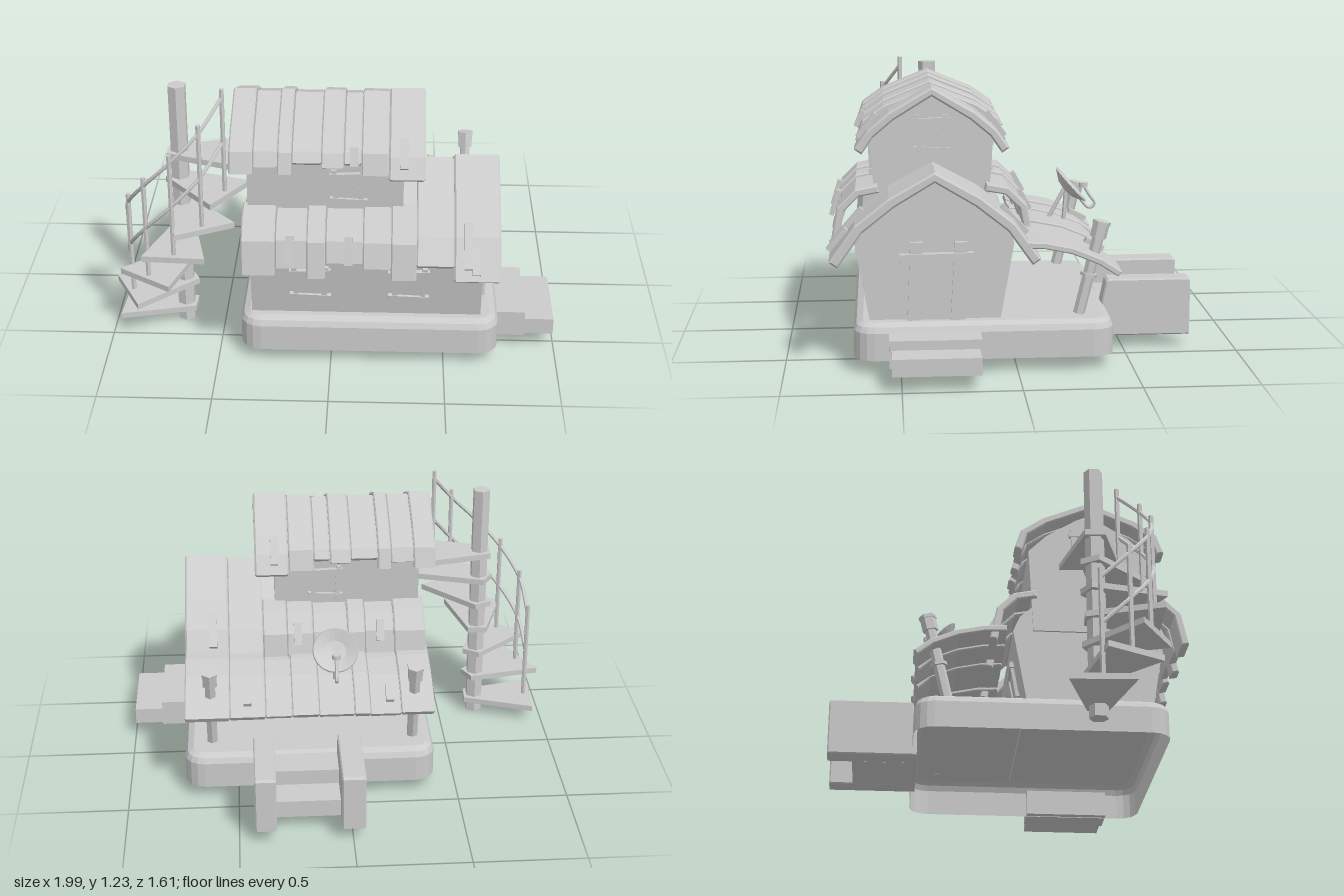
import * as THREE from 'three';

const mat = new THREE.MeshStandardMaterial({ color: 0xcccccc, flatShading: true, side: THREE.DoubleSide });
const CZ = 0.35; // ridge line of both roofs
const V = (x, y, z) => new THREE.Vector3(x, y, z);

export function createModel() {
  const root = new THREE.Group();
  const add = (name, geo, parent = root) => {
    const m = new THREE.Mesh(geo, mat);
    m.name = name;
    parent.add(m);
    return m;
  };
  const box = (name, w, h, d, x, y, z, parent = root) => {
    const m = add(name, new THREE.BoxGeometry(w, h, d), parent);
    m.position.set(x, y, z);
    return m;
  };
  // cylinder between two points
  const rod = (name, a, b, r, sides = 6, r2 = r) => {
    const m = add(name, new THREE.CylinderGeometry(r2, r, a.distanceTo(b), sides));
    m.position.copy(a).add(b).multiplyScalar(0.5);
    m.quaternion.setFromUnitVectors(V(0, 1, 0), b.clone().sub(a).normalize());
    return m;
  };
  // outline of [z, y] points extruded along x
  const slab = (name, pts, x0, x1, bevel = 0) => {
    const shape = new THREE.Shape(pts.map(([z, y]) => new THREE.Vector2(-z, y)));
    const geo = new THREE.ExtrudeGeometry(shape, {
      depth: x1 - x0 - 2 * bevel, bevelEnabled: bevel > 0, bevelSize: bevel,
      bevelOffset: -bevel, bevelThickness: bevel, bevelSegments: 1,
    });
    geo.rotateY(Math.PI / 2).translate(x0 + bevel, 0, 0);
    return add(name, geo);
  };
  // polyline running front to back, thickened towards the inside
  const thicken = (pts, t) => {
    const inner = pts.map(([z, y], i) => {
      const a = pts[Math.max(i - 1, 0)], b = pts[Math.min(i + 1, pts.length - 1)];
      const dz = b[0] - a[0], dy = b[1] - a[1], l = Math.hypot(dz, dy);
      return [z - (dy / l) * t, y + (dz / l) * t];
    });
    return [...pts, ...inner.reverse()];
  };
  const flip = (pts) => pts.map(([z, y]) => [2 * CZ - z, y]).reverse();
  const mirrored = (half) => [...half, ...flip(half.slice(0, -1))];

  // hollow base with rounded corners and softened top edge
  const ring = (y, inset) => {
    const out = [], r = 0.09 - inset;
    [[1, 1], [-1, 1], [-1, -1], [1, -1]].forEach(([sx, sz], q) => {
      for (let i = 0; i <= 4; i++) {
        const a = (q + i / 4) * Math.PI / 2;
        out.push([0.17 + sx * 0.48 + r * Math.cos(a), y, 0.14 + sz * 0.47 + r * Math.sin(a)]);
      }
    });
    return out;
  };
  const levels = [ring(0.06, 0), ring(0.18, 0), ring(0.205, 0.012), ring(0.22, 0.04)];
  const n = levels[0].length, index = [];
  for (let l = 0; l < 3; l++) {
    for (let i = 0; i < n; i++) {
      const a = l * n + i, b = l * n + (i + 1) % n;
      index.push(a, a + n, b, b, a + n, b + n);
    }
  }
  for (let i = 0; i < n; i++) index.push(3 * n + i, 4 * n, 3 * n + (i + 1) % n);
  const base = new THREE.BufferGeometry();
  base.setAttribute('position', new THREE.Float32BufferAttribute([...levels.flat(2), 0.17, 0.22, 0.14], 3));
  base.setIndex(index);
  base.computeVertexNormals();
  add('base', base);

  // side entrance steps
  box('entryStepUpper', 0.16, 0.12, 0.39, 0.785, 0.123, 0.355);
  box('entryStepLower', 0.14, 0.075, 0.37, 0.925, 0.105, 0.355);

  // rear stairs between two cheek walls
  const cheek = [[-0.4, 0.06], [-0.8, 0.06], [-0.8, 0.31], [-0.79, 0.32], [-0.43, 0.32], [-0.42, 0.31], [-0.4, 0.21]];
  slab('rearStairWall', cheek, -0.055, 0.05, 0.006);
  slab('rearStairWall', cheek, 0.335, 0.43, 0.006);
  box('rearStairUpper', 0.29, 0.15, 0.15, 0.19, 0.135, -0.475);
  box('rearStairLower', 0.29, 0.08, 0.15, 0.19, 0.1, -0.615);

  // house bodies
  slab('lowerHouse', mirrored([[0.63, 0.21], [0.69, 0.55], [0.66, 0.62], [0.545, 0.72], [0.35, 0.84]]), -0.35, 0.66);
  slab('upperHouse', mirrored([[0.6, 0.55], [0.62, 0.95], [0.54, 1.03], [0.35, 1.15]]), -0.36, 0.31);

  // main lower roof over the exposed end
  const mainHalf = [[0.79, 0.525], [0.69, 0.645], [0.545, 0.76], [0.35, 0.87]];
  slab('mainRoofEnd', thicken(mirrored([[0.8, 0.49], ...mainHalf.slice(1)]), 0.045), 0.53, 0.73, 0.008);
  slab('mainRoofStrip', thicken(mirrored([[0.77, 0.545], [0.685, 0.64], [0.545, 0.75], [0.35, 0.855]]), 0.035), 0.37, 0.53, 0.006);

  // bulging skirt strips around the upper storey: x0, x1, eave height, lift
  [[-0.38, -0.235, 0.5, 0], [-0.235, -0.1, 0.53, -0.012], [-0.1, -0.02, 0.49, 0.003], [-0.02, 0.14, 0.56, -0.01],
    [0.14, 0.26, 0.54, 0], [0.26, 0.37, 0.49, 0.006]].forEach(([x0, x1, e, d]) => {
    const p = [[0.795 + d, e], [0.765 + d, 0.65], [0.69, 0.725 + d], [0.59, 0.745 + d]];
    slab('skirtRoofFront', thicken(p, 0.035), x0, x1, 0.006);
    slab('skirtRoofBack', thicken(flip(p), 0.035), x0, x1, 0.006);
  });

  // upper roof strips: x0, x1, eave height, lift
  [[-0.43, -0.33, 0.93, 0.004], [-0.33, -0.225, 0.96, -0.006], [-0.225, -0.165, 0.93, 0.004], [-0.165, -0.04, 0.98, -0.01],
    [-0.04, 0.055, 0.965, 0.002], [0.055, 0.13, 0.98, -0.01], [0.13, 0.245, 0.93, 0]].forEach(([x0, x1, e, d]) => {
    const half = [[0.685 + d, e], [0.655 + d, 1.02], [0.56, 1.085 + d], [0.35, 1.17 + d]];
    slab('upperRoofStrip', thicken(mirrored(half), 0.035), x0, x1, 0.006);
  });
  slab('upperRoofEnd', thicken(mirrored([[0.69, 0.915], [0.635, 0.995], [0.54, 1.075], [0.35, 1.185]]), 0.04), 0.245, 0.4, 0.008);

  // porch roof strips: x0, x1, eave z, lift
  [[-0.39, -0.24, -0.43, 0], [-0.24, -0.1, -0.42, -0.01], [-0.1, -0.03, -0.435, 0.003], [-0.03, 0.13, -0.42, -0.006],
    [0.13, 0.25, -0.43, 0.002], [0.25, 0.37, -0.415, -0.01], [0.37, 0.53, -0.43, -0.002], [0.53, 0.73, -0.445, 0.006]].forEach(([x0, x1, e, d]) => {
    const p = [[-0.02, 0.56 + d], [-0.12, 0.555 + d], [-0.24, 0.53 + d], [-0.36, 0.48 + d], [e, 0.425 + d]];
    slab('porchRoofStrip', thicken(p, 0.028), x0, x1, 0.005);
  });

  // small repair planks on the roofs: x, y, z, tilt, length
  [[-0.17, 0.62, 0.785, -0.3, 0.12], [0.08, 0.62, 0.785, -0.3, 0.12], [0.59, 0.62, 0.725, -0.72, 0.2], [0.625, 0.57, 0.765, -0.7, 0.12],
    [0.31, 1.01, 0.635, -0.65, 0.13], [0.1, 1.01, 0.668, -0.4, 0.08], [0.31, 1.01, 0.065, 0.65, 0.13], [-0.17, 0.66, -0.07, 0.5, 0.1],
    [0.21, 0.65, -0.07, 0.5, 0.1], [0.6, 0.64, 0.005, 0.75, 0.16], [-0.19, 0.49, -0.36, 1.1, 0.09], [0.45, 0.49, -0.36, 1.1, 0.09]].forEach(([x, y, z, tilt, len]) => {
    box('roofPatch', 0.035, len, 0.022, x, y, z).rotation.x = tilt;
  });

  // plank window frames
  const windowFrame = (name, w, h, x, y, z, turn, lean = 0) => {
    const g = new THREE.Group();
    g.name = name;
    box('windowPanel', w * 0.8, h * 0.8, 0.012, 0, 0, 0, g);
    [-1, 1].forEach((s) => {
      box('windowPost', 0.022, h, 0.026, s * w * 0.36, 0, 0, g).rotation.z = s * -0.06;
      box('windowBar', w, 0.02, 0.034, 0, s * h * 0.36, 0, g).rotation.z = s * 0.04;
    });
    g.position.set(x, y, z);
    g.rotation.set(lean, turn, 0, 'YXZ');
    root.add(g);
  };
  [-0.09, 0.34].forEach((x) => {
    windowFrame('frontWindow', 0.18, 0.19, x, 0.39, 0.664, 0, 0.18);
    windowFrame('backWindow', 0.18, 0.19, x, 0.39, 0.036, Math.PI, 0.18);
  });
  windowFrame('upperFrontWindow', 0.16, 0.17, 0.075, 0.84, 0.617, 0, 0.05);
  windowFrame('upperBackWindow', 0.16, 0.17, 0.075, 0.84, 0.083, Math.PI, 0.05);
  windowFrame('upperSideWindow', 0.16, 0.18, 0.312, 0.965, 0.35, Math.PI / 2);
  windowFrame('upperSideDoor', 0.17, 0.2, -0.362, 0.965, 0.35, -Math.PI / 2);

  // entrance door
  slab('door', [[0.46, 0.22], [0.22, 0.22], [0.25, 0.5], [0.43, 0.5]], 0.655, 0.668);
  slab('doorPlank', [[0.41, 0.22], [0.29, 0.22], [0.3, 0.48], [0.4, 0.48]], 0.665, 0.673);
  slab('doorPostLeft', [[0.47, 0.22], [0.42, 0.22], [0.4, 0.56], [0.455, 0.56]], 0.655, 0.685);
  slab('doorPostRight', [[0.285, 0.22], [0.225, 0.22], [0.21, 0.56], [0.265, 0.56]], 0.655, 0.685);
  slab('doorLintel', [[0.5, 0.475], [0.185, 0.475], [0.185, 0.515], [0.5, 0.51]], 0.66, 0.695);

  // leaning porch posts with collars and tops above the roof
  [-0.305, 0.615].forEach((x) => {
    const at = (t) => V(x, 0.22 + 0.4 * t, -0.275 - 0.095 * t);
    rod('porchPost', at(0), at(1), 0.026);
    rod('porchPostCollar', at(0.41), at(0.45), 0.038);
    rod('porchPostTop', at(0.84), at(1), 0.036);
    rod('porchPostCap', at(0.98), at(1.02), 0.04);
  });

  // dish on the porch roof
  const dish = add('dish', new THREE.LatheGeometry([[0, -0.02], [0.05, -0.012], [0.1, 0.015], [0.104, 0.008], [0.05, -0.022], [0, -0.03]]
    .map(([x, y]) => new THREE.Vector2(x, y)), 20));
  dish.position.set(0.05, 0.675, -0.295);
  dish.rotation.x = -0.85;
  rod('dishStrut', V(0.05, 0.53, -0.2), V(0.05, 0.66, -0.27), 0.01);
  rod('dishStrut', V(0.05, 0.52, -0.27), V(0.05, 0.66, -0.28), 0.01);
  const arm = new THREE.CatmullRomCurve3([V(0.05, 0.62, -0.34), V(0.05, 0.57, -0.39), V(0.05, 0.59, -0.415), V(0.05, 0.63, -0.39), V(0.05, 0.68, -0.36)]);
  add('dishArm', new THREE.TubeGeometry(arm, 16, 0.008, 6));
  rod('dishReceiver', V(0.05, 0.67, -0.36), V(0.05, 0.69, -0.36), 0.02, 8);

  // spiral staircase
  const cx = -0.68, cz = 0.34;
  rod('stairPole', V(cx, 0, cz), V(cx, 1.18, cz), 0.042);
  const tread = new THREE.Shape([[-0.05, -0.045], [0.28, -0.14], [0.28, 0.14], [-0.05, 0.045]].map(([x, y]) => new THREE.Vector2(x, y)));
  const treadGeo = new THREE.ExtrudeGeometry(tread, { depth: 0.027, bevelEnabled: false }).rotateX(-Math.PI / 2);
  const angle = (i) => THREE.MathUtils.degToRad(-3 + 30 * i);
  const onRail = (i, h) => V(cx - 0.25 * Math.cos(angle(i)), 0.08 + 0.131 * i + h, cz + 0.25 * Math.sin(angle(i)));
  for (let i = 0; i < 7; i++) {
    const step = add('spiralStep', treadGeo);
    step.position.set(cx, 0.055 + 0.131 * i, cz);
    step.rotation.y = Math.PI + angle(i);
    if (i < 6) rod('railPost', onRail(i, -0.02), onRail(i, 0.49), 0.011);
  }
  [0.24, 0.45].forEach((h) => {
    const path = new THREE.CatmullRomCurve3([0, 1, 2, 3, 4, 5].map((i) => onRail(i, h)));
    add('handrail', new THREE.TubeGeometry(path, 30, 0.009, 6));
  });
  return root;
}
